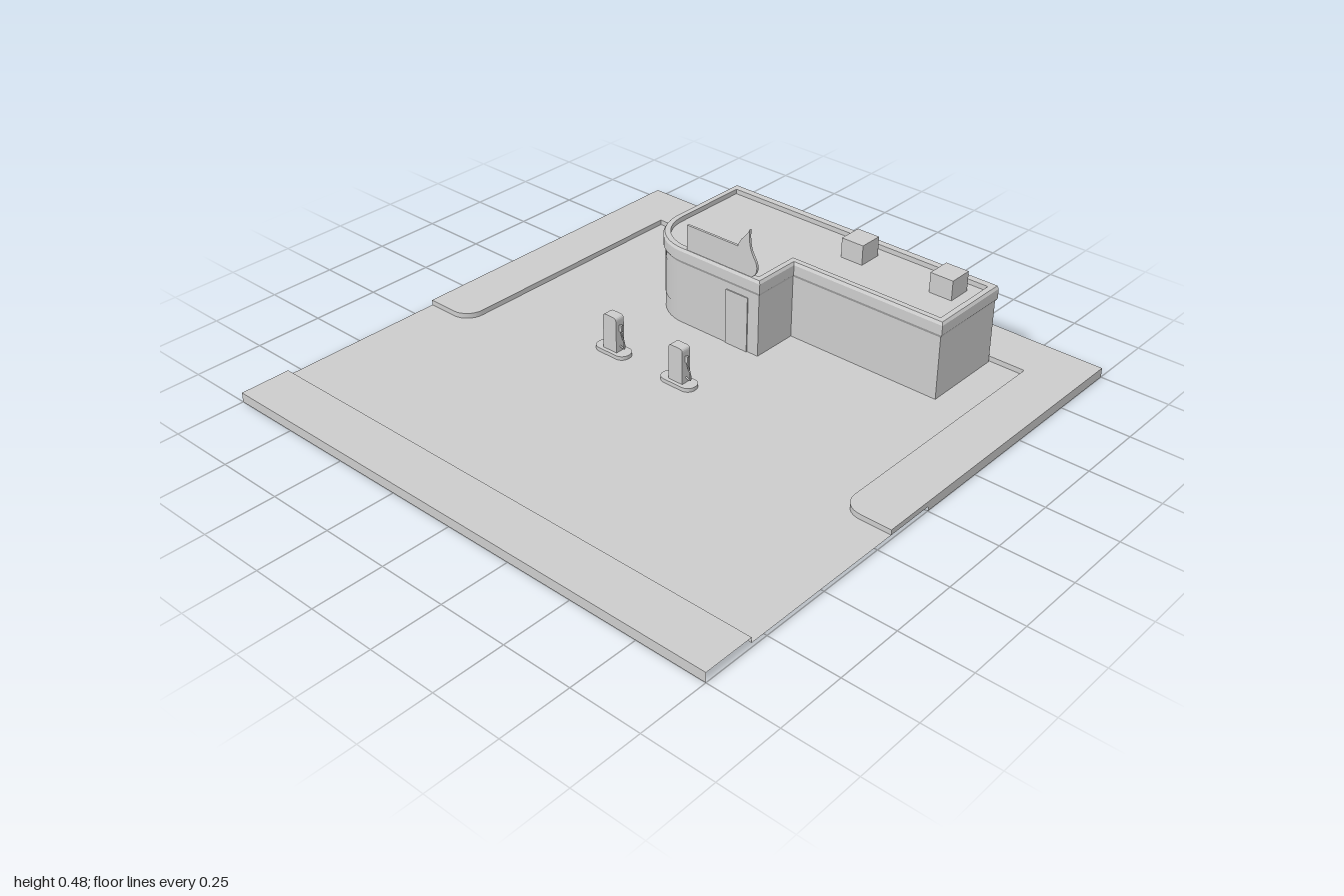
import * as THREE from 'three';
import { toCreasedNormals } from 'three/addons/utils/BufferGeometryUtils.js';

const material = new THREE.MeshStandardMaterial({ color: 0xcccccc, side: THREE.DoubleSide });
const ROAD = 0.016, KERB = 0.035;

function add(parent, name, geometry, x = 0, y = 0, z = 0) {
  const mesh = new THREE.Mesh(geometry, material);
  mesh.name = name;
  mesh.position.set(x, y, z);
  parent.add(mesh);
  return mesh;
}

// Join rings of [x, y, z] points with quads
function loft(rings, closed) {
  const n = rings[0].length, index = [];
  for (let r = 0; r < rings.length - 1; r++) {
    for (let i = 0; i < (closed ? n : n - 1); i++) {
      const a = r * n + i, b = r * n + (i + 1) % n;
      index.push(a, a + n, b, b, a + n, b + n);
    }
  }
  const g = new THREE.BufferGeometry();
  g.setAttribute('position', new THREE.Float32BufferAttribute(rings.flat(2), 3));
  g.setIndex(index);
  return toCreasedNormals(g, 0.45);
}

const ring = (pts, y) => pts.map(([x, z]) => [x, y, z]);
const wall = (pts, y0, y1) => loft([ring(pts, y0), ring(pts, y1)], false);

// Flat horizontal surface from [x, z] points
function flat(pts, y) {
  const shape = new THREE.Shape(pts.map(([x, z]) => new THREE.Vector2(x, z)));
  return new THREE.ShapeGeometry(shape).rotateX(Math.PI / 2).translate(0, y, 0);
}

function arc(cx, cz, r, from, to, steps) {
  return Array.from({ length: steps + 1 }, (_, i) => {
    const a = from + (to - from) * i / steps;
    return [cx + r * Math.cos(a), cz + r * Math.sin(a)];
  });
}

// Building plan, inset by d, starting at the back left of the drawing
const CURVE = 12;
function outline(d) {
  const x0 = -0.44 + d, x1 = 0.69 - d, xc = 0.09 - d, zf = -0.308 - d, zw = -0.488 - d;
  const zb = -0.81 + (d > 0.012 ? d : 0), r = 0.18 - d;
  return [[x0, zb], ...arc(x0 + r, zf - r, r, Math.PI, Math.PI / 2, CURVE),
    [xc, zf], [xc, zw], [x1, zw], [x1, zb]];
}

function createGround() {
  const g = new THREE.Group();
  g.name = 'ground';
  const right = arc(0.885, 0.115, 0.07, Math.PI, Math.PI / 2, 8);
  const left = right.map(([x, z]) => [-x, z]).reverse();
  const kerb = [[-1, 0.185], ...left, [-0.815, -0.815], [0.815, -0.815], ...right, [1, 0.185]];
  add(g, 'sidewalk', flat([...kerb, [1, -1], [-1, -1]], KERB));
  add(g, 'kerb', wall(kerb, ROAD, KERB));
  add(g, 'road', flat([...kerb, [1, 0.815], [-1, 0.815]], ROAD));
  add(g, 'outerSkirt', wall([[-1, 0], [-1, -1], [1, -1], [1, 0]], 0, KERB));
  for (const x of [-1, 1]) add(g, 'sidewalkEnd', wall([[x, 0], [x, 0.185]], ROAD, KERB));
  // Strip along the front edge
  add(g, 'frontSidewalk', flat([[-1, 0.815], [1, 0.815], [1, 1], [-1, 1]], KERB));
  add(g, 'frontKerb', wall([[-1, 0.815], [1, 0.815]], ROAD, KERB));
  add(g, 'frontSkirt', wall([[-1, 1], [1, 1]], 0, KERB));
  return g;
}

function createBuilding() {
  const g = new THREE.Group();
  g.name = 'building';
  // Walls rising to a bulging cornice and a sunken roof: [y, inset]
  const profile = [[ROAD, 0.009], [0.25, 0.009], [0.264, 0], [0.3, 0], [0.31, 0.006], [0.31, 0.026], [0.292, 0.026]];
  add(g, 'walls', loft(profile.map(([y, d]) => ring(outline(d), y)), true));
  add(g, 'roof', flat(outline(0.026), 0.292));
  // Window wrapping the curved corner, and the door
  const bend = outline(0.007).slice(1, CURVE);
  add(g, 'curvedWindow', wall(bend, 0.08, 0.225));
  add(g, 'door', new THREE.BoxGeometry(0.095, 0.209, 0.006), -0.013, 0.1205, -0.316);
  for (const x of [0.207, 0.568]) {
    add(g, 'roofVent', new THREE.BoxGeometry(0.088, 0.075, 0.09), x, 0.328, -0.697);
  }
  // Flat rooftop sign: a panel ending in a pointed swirl
  const s = new THREE.Shape();
  s.moveTo(-0.237, 0.31);
  s.lineTo(0.035, 0.305);
  s.bezierCurveTo(0.06, 0.312, 0.074, 0.335, 0.068, 0.36);
  s.bezierCurveTo(0.06, 0.39, 0.03, 0.395, 0.035, 0.482);
  s.bezierCurveTo(0.025, 0.455, -0.005, 0.44, -0.014, 0.405);
  s.lineTo(-0.237, 0.405);
  add(g, 'roofSign', new THREE.ExtrudeGeometry(s, { depth: 0.009, bevelEnabled: false, curveSegments: 8 }), 0, 0, -0.325);
  // Unit on the side wall
  add(g, 'wallUnit', new THREE.BoxGeometry(0.042, 0.13, 0.055), -0.456, 0.117, -0.658);
  add(g, 'wallUnitFin', new THREE.BoxGeometry(0.006, 0.1, 0.09), -0.456, 0.105, -0.658);
  return g;
}

function createPump(x) {
  const g = new THREE.Group();
  g.name = 'pump';
  // Island with rounded corners
  const island = [...arc(0.04, 0.003, 0.03, 0, Math.PI / 2, 6), ...arc(-0.04, 0.003, 0.03, Math.PI / 2, Math.PI, 6),
    ...arc(-0.04, -0.003, 0.03, Math.PI, Math.PI * 1.5, 6), ...arc(0.04, -0.003, 0.03, Math.PI * 1.5, Math.PI * 2, 6)];
  add(g, 'island', loft([ring(island, ROAD), ring(island, 0.03)], true));
  add(g, 'islandTop', flat(island, 0.03));
  // Body with softened top corners
  const b = new THREE.Shape();
  b.moveTo(-0.03, 0.03);
  b.lineTo(0.03, 0.03);
  b.lineTo(0.03, 0.15);
  b.quadraticCurveTo(0.03, 0.163, 0.017, 0.163);
  b.lineTo(-0.017, 0.163);
  b.quadraticCurveTo(-0.03, 0.163, -0.03, 0.15);
  add(g, 'pumpBody', new THREE.ExtrudeGeometry(b, { depth: 0.038, bevelEnabled: false, curveSegments: 4 }), 0, 0, -0.019);
  add(g, 'nozzle', new THREE.BoxGeometry(0.012, 0.025, 0.008), 0.034, 0.12, 0);
  const hose = new THREE.CatmullRomCurve3([[0.032, 0.13], [0.037, 0.1], [0.049, 0.065], [0.048, 0.045], [0.03, 0.05]]
    .map(([px, py]) => new THREE.Vector3(px, py, 0)));
  add(g, 'hose', new THREE.TubeGeometry(hose, 16, 0.003, 6));
  g.position.set(x, 0, -0.017);
  return g;
}

export function createModel() {
  const model = new THREE.Group();
  model.name = 'roadsideStation';
  model.add(createGround(), createBuilding(), createPump(-0.302), createPump(-0.005));
  return model;
}
